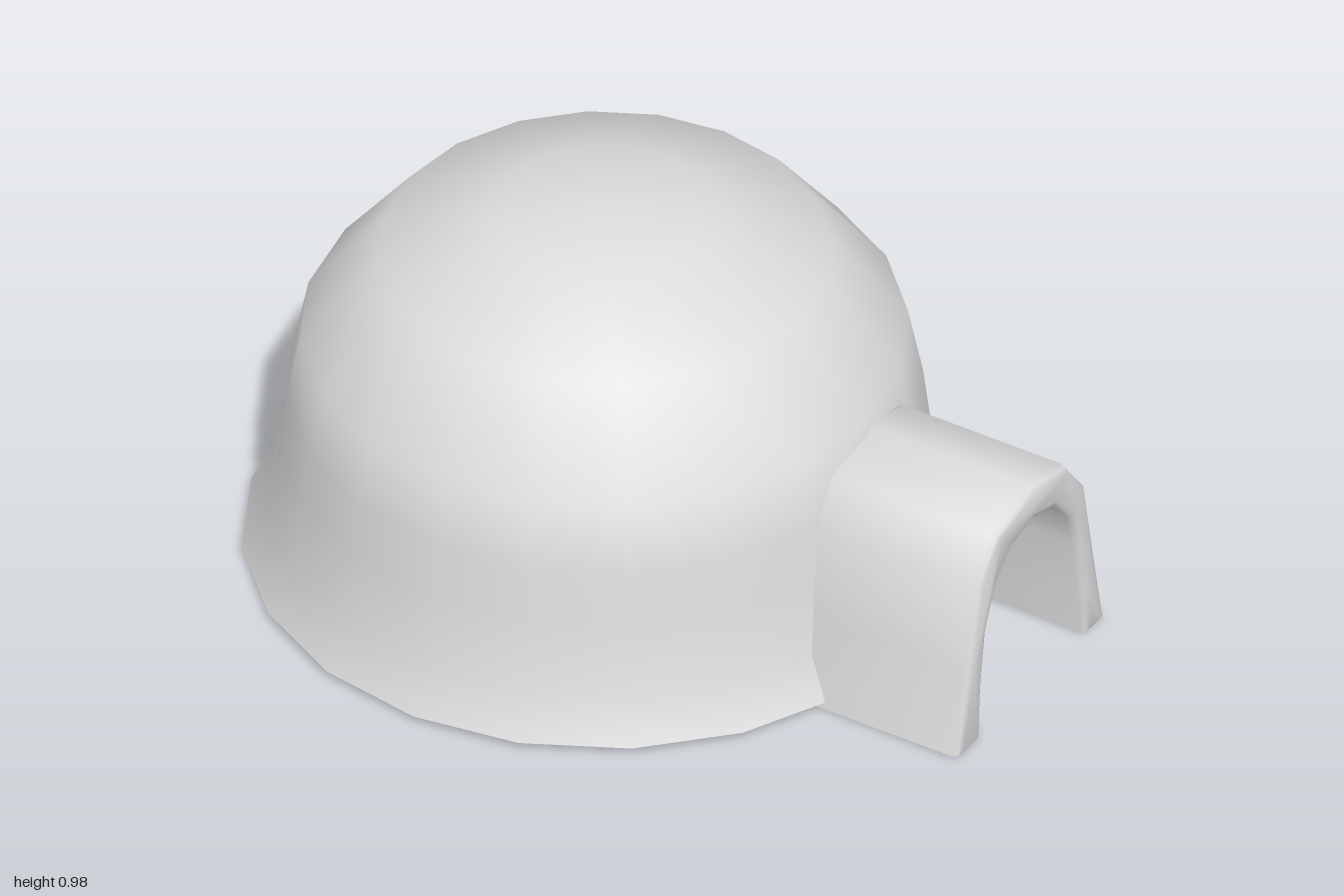
import * as THREE from 'three';
import { mergeGeometries, mergeVertices, toCreasedNormals } from 'three/addons/utils/BufferGeometryUtils.js';

const SIDES = 20;
const STEP = (Math.PI * 2) / SIDES;
const START = Math.PI / 2 + STEP; // the doorway spans one side either way of +x
const DOOR_ROWS = 5; // profile points up to the row above the doorway

// Dome profile as radius, height
const OUTER = [[0.845, 0.005], [0.79, 0.11], [0.758, 0.3], [0.742, 0.43], [0.708, 0.6],
  [0.53, 0.825], [0.26, 0.932], [0, 0.963]];
const INNER = [[0.825, 0.005], [0.77, 0.11], [0.738, 0.3], [0.722, 0.43], [0.688, 0.59],
  [0.515, 0.805], [0.25, 0.912], [0, 0.94]];

const vec = (points) => points.map(([x, y]) => new THREE.Vector2(x, y));

function radiusAt(profile, y) {
  let i = 0;
  while (i < profile.length - 2 && profile[i + 1][1] < y) i++;
  const [r0, y0] = profile[i];
  const [r1, y1] = profile[i + 1];
  return r0 + ((r1 - r0) * (y - y0)) / (y1 - y0);
}

// One smooth skin of the dome with an arched doorway facing +x
function domeSkin(profile) {
  const lower = new THREE.LatheGeometry(vec(profile.slice(0, DOOR_ROWS)), SIDES - 2, START, Math.PI * 2 - 2 * STEP);
  const upper = new THREE.LatheGeometry(vec(profile.slice(DOOR_ROWS - 1)), SIDES, START, Math.PI * 2);

  // Wall above the doorway, drawn in angle and height, then wrapped on the facets
  const y2 = profile[2][1], y3 = profile[3][1], top = profile[4][1];
  const lintel = new THREE.ShapeGeometry(new THREE.Shape(vec([
    [-STEP, y2], [-STEP * 0.6, 0.46], [0, 0.52], [STEP * 0.6, 0.46], [STEP, y2],
    [STEP, y3], [STEP, top], [0, top], [-STEP, top], [-STEP, y3],
  ])));
  const p = lintel.attributes.position;
  for (let i = 0; i < p.count; i++) {
    const a = p.getX(i), y = p.getY(i);
    const r = (radiusAt(profile, y) * Math.cos(STEP / 2)) / Math.cos(Math.abs(a) - STEP / 2);
    p.setXYZ(i, r * Math.cos(a), y, -r * Math.sin(a));
  }

  const parts = [lower, upper, lintel];
  parts.forEach((g) => { g.deleteAttribute('uv'); g.deleteAttribute('normal'); });
  const skin = mergeVertices(mergeGeometries(parts), 0.001);
  skin.computeVertexNormals();
  return skin;
}

// Arched entrance, drawn as -z, y and extruded along x
function tunnelGeometry() {
  const outside = [[-0.3, 0], [-0.255, 0.22], [-0.21, 0.44], [-0.13, 0.54], [0.03, 0.58],
    [0.18, 0.545], [0.26, 0.44], [0.3, 0.23], [0.345, 0]];
  const inside = [[0.265, 0], [0.25, 0.12], [0.23, 0.28], [0.2, 0.38], [0.12, 0.46], [0.03, 0.485],
    [-0.06, 0.465], [-0.13, 0.4], [-0.175, 0.29], [-0.195, 0.15], [-0.205, 0]];
  const shape = new THREE.Shape(vec([...outside, ...inside]));
  const bevel = 0.02, back = 0.53, front = 1;
  const geo = new THREE.ExtrudeGeometry(shape, {
    depth: front - back - 2 * bevel, steps: 1, bevelEnabled: true,
    bevelThickness: bevel, bevelSize: 0.018, bevelOffset: -0.018, bevelSegments: 2,
  });
  geo.rotateY(Math.PI / 2);
  geo.translate(back + bevel, -0.012, 0);
  return toCreasedNormals(geo, 0.9);
}

export function createModel() {
  const model = new THREE.Group();
  model.name = 'igloo';
  const snow = new THREE.MeshStandardMaterial({ color: 0xdcdcdc, side: THREE.DoubleSide });
  snow.name = 'snow';

  const add = (name, geometry, parent) => {
    const mesh = new THREE.Mesh(geometry, snow);
    mesh.name = name;
    parent.add(mesh);
  };

  // Hollow dome: two skins joined by a narrow rim at the ground
  const dome = new THREE.Group();
  dome.name = 'dome';
  dome.position.set(-0.155, 0, 0);
  add('domeOutside', domeSkin(OUTER), dome);
  add('domeInside', domeSkin(INNER), dome);
  add('domeRim', new THREE.LatheGeometry(vec([INNER[0], OUTER[0]]), SIDES - 2, START, Math.PI * 2 - 2 * STEP), dome);
  model.add(dome);

  add('entranceTunnel', tunnelGeometry(), model);
  return model;
}
